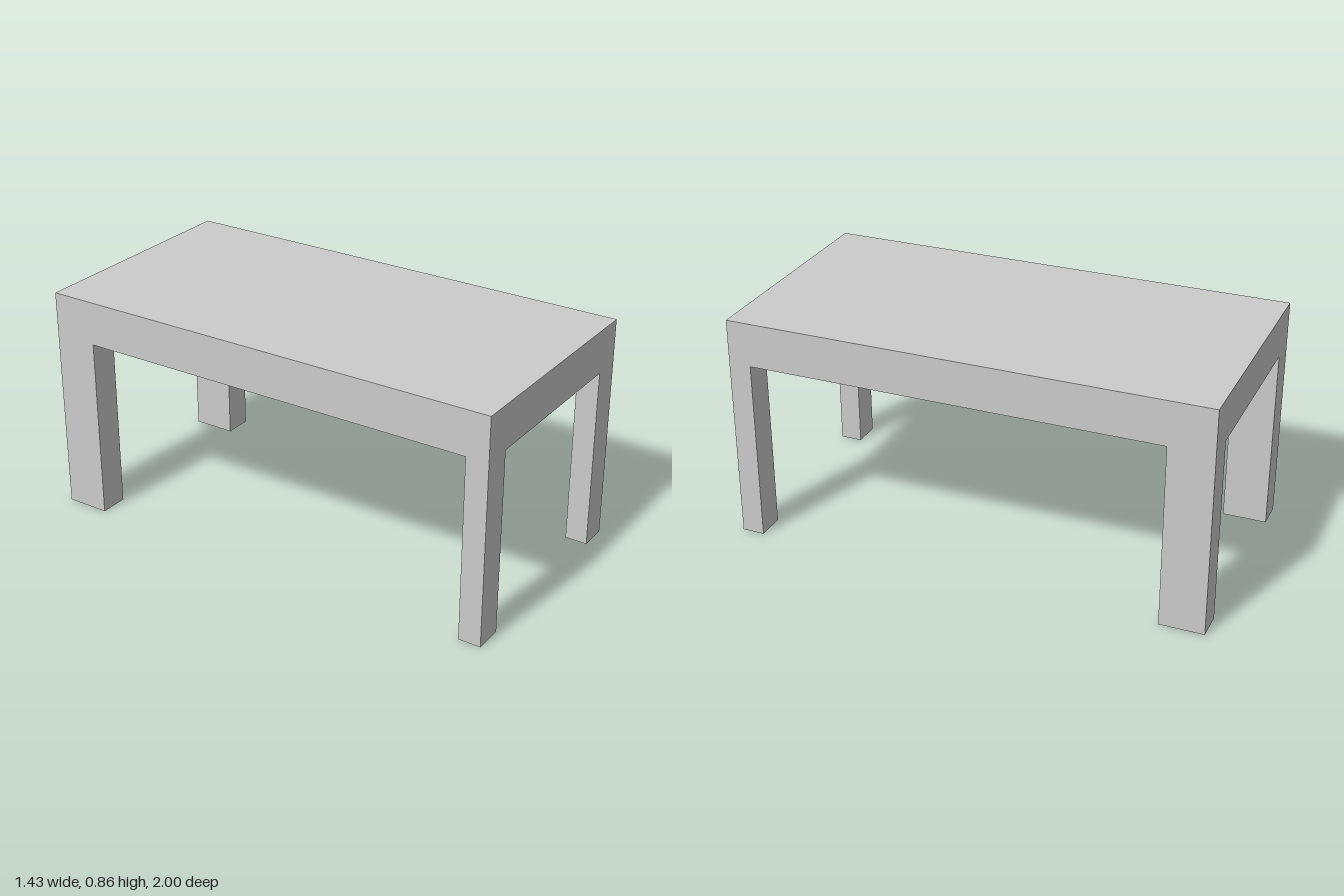
import * as THREE from 'three';

const WIDTH = 0.911, LENGTH = 1.805, HEIGHT = 0.863, TOP = 0.167;
const LEG_WIDTH = 0.11, FRONT_DEPTH = 0.085, BACK_DEPTH = 0.167;

export function createModel() {
  const group = new THREE.Group();
  group.name = 'table';
  const material = new THREE.MeshStandardMaterial({ color: 0xcccccc });

  function addBox(name, w, h, d, x, y, z) {
    const mesh = new THREE.Mesh(new THREE.BoxGeometry(w, h, d), material);
    mesh.name = name;
    mesh.position.set(x, y, z);
    group.add(mesh);
  }

  // Thick slab top
  addBox('tableTop', WIDTH, TOP, LENGTH, 0, HEIGHT - TOP / 2, 0);

  // Legs flush with the corners; the back pair is deeper than the front pair
  const legHeight = HEIGHT - TOP;
  for (const [end, sz, depth] of [['front', 1, FRONT_DEPTH], ['back', -1, BACK_DEPTH]]) {
    for (const [side, sx] of [['Left', 1], ['Right', -1]]) {
      addBox(`${end}${side}Leg`, LEG_WIDTH, legHeight, depth,
        sx * (WIDTH - LEG_WIDTH) / 2, legHeight / 2, sz * (LENGTH - depth) / 2);
    }
  }

  // The whole table stands turned about the vertical axis
  group.rotation.y = THREE.MathUtils.degToRad(18.35);
  return group;
}
